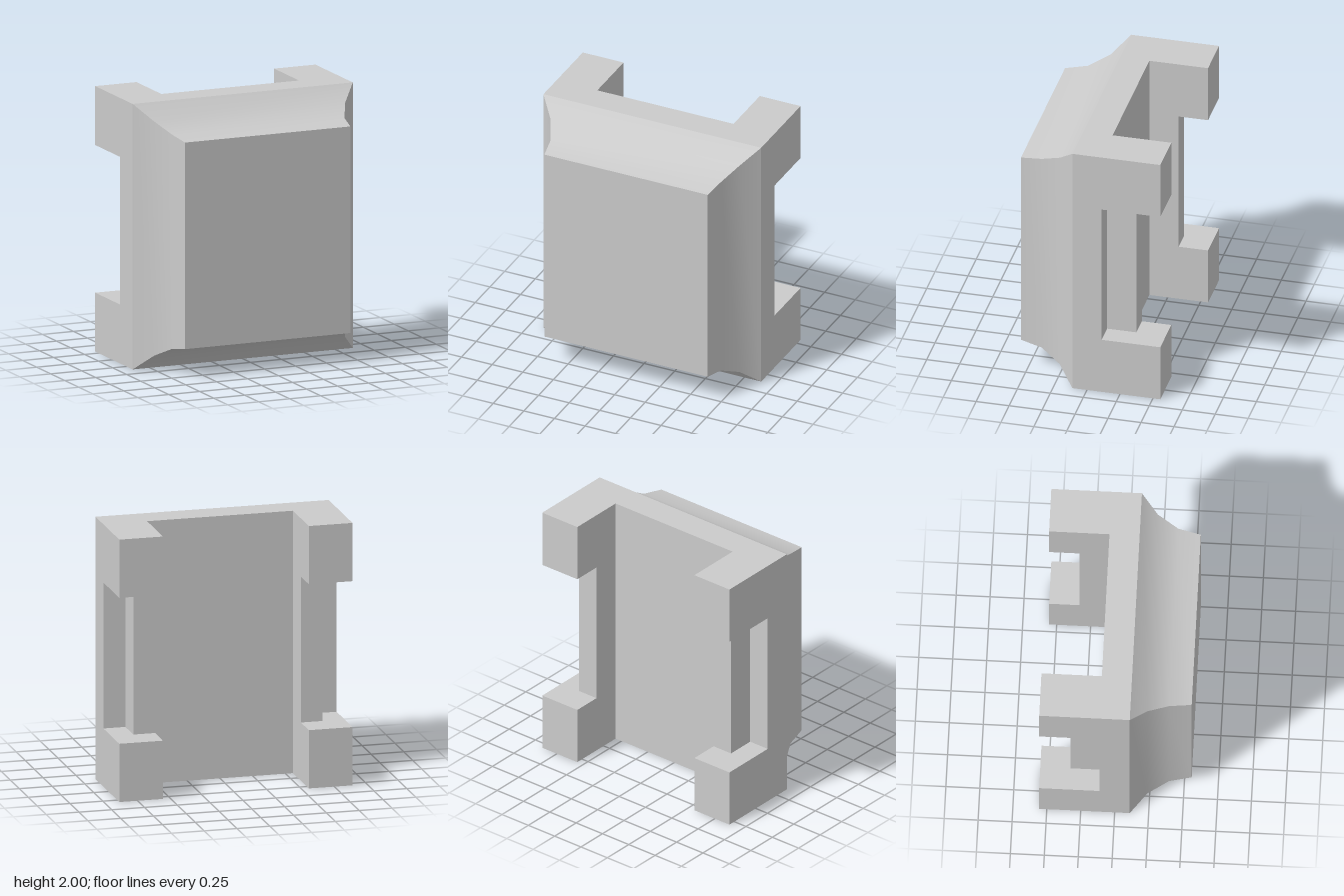
import * as THREE from 'three';

const W = 0.889, H = 1; // half width and half height of the back plate

export function createModel() {
  const group = new THREE.Group();
  const material = new THREE.MeshStandardMaterial({ color: 0xcccccc });

  const add = (name, geometry) => {
    const mesh = new THREE.Mesh(geometry, material);
    mesh.name = name;
    group.add(mesh);
  };
  // Box given by its lower and upper corners
  const box = (name, x0, x1, y0, y1, z0, z1) => {
    const g = new THREE.BoxGeometry(x1 - x0, y1 - y0, z1 - z0);
    g.translate((x0 + x1) / 2, (y0 + y1) / 2, (z0 + z1) / 2);
    add(name, g);
  };

  box('plate', -W, W, 0, 2, -0.111, 0.111);

  // Rear clips: a lug at each corner, joined by a recessed web on each side
  for (const [s, side] of [[1, 'left'], [-1, 'right']]) {
    const span = (a, b) => (s > 0 ? [a, b] : [-b, -a]);
    box(side + 'LowerLug', ...span(0.556, W), 0, 0.444, -0.556, -0.111);
    box(side + 'UpperLug', ...span(0.556, W), 1.556, 2, -0.556, -0.111);
    box(side + 'Web', ...span(0.556, 0.722), 0.444, 1.556, -0.333, -0.111);
  }

  // Concave flared sides, smooth along the curve and sharp at the mitres: [inset, z]
  const profile = [[0, 0.111], [0.118, 0.235], [0.194, 0.39], [0.222, 0.556]];
  const corners = [[1, 1], [-1, 1], [-1, -1], [1, -1]];
  ['topFlare', 'rightFlare', 'bottomFlare', 'leftFlare'].forEach((name, i) => {
    const pos = [], index = [];
    profile.forEach(([inset, z], j) => {
      for (const [cx, cy] of [corners[i], corners[(i + 1) % 4]]) {
        pos.push(cx * (W - inset), 1 + cy * (H - inset), z);
      }
      if (j > 0) {
        const a = 2 * (j - 1);
        index.push(a, a + 1, a + 3, a, a + 3, a + 2);
      }
    });
    const g = new THREE.BufferGeometry();
    g.setAttribute('position', new THREE.Float32BufferAttribute(pos, 3));
    g.setIndex(index);
    g.computeVertexNormals();
    add(name, g);
  });

  // Flat front face
  const face = new THREE.PlaneGeometry(2 * (W - 0.222), 2 * (H - 0.222));
  face.translate(0, 1, 0.556);
  add('frontFace', face);

  return group;
}
